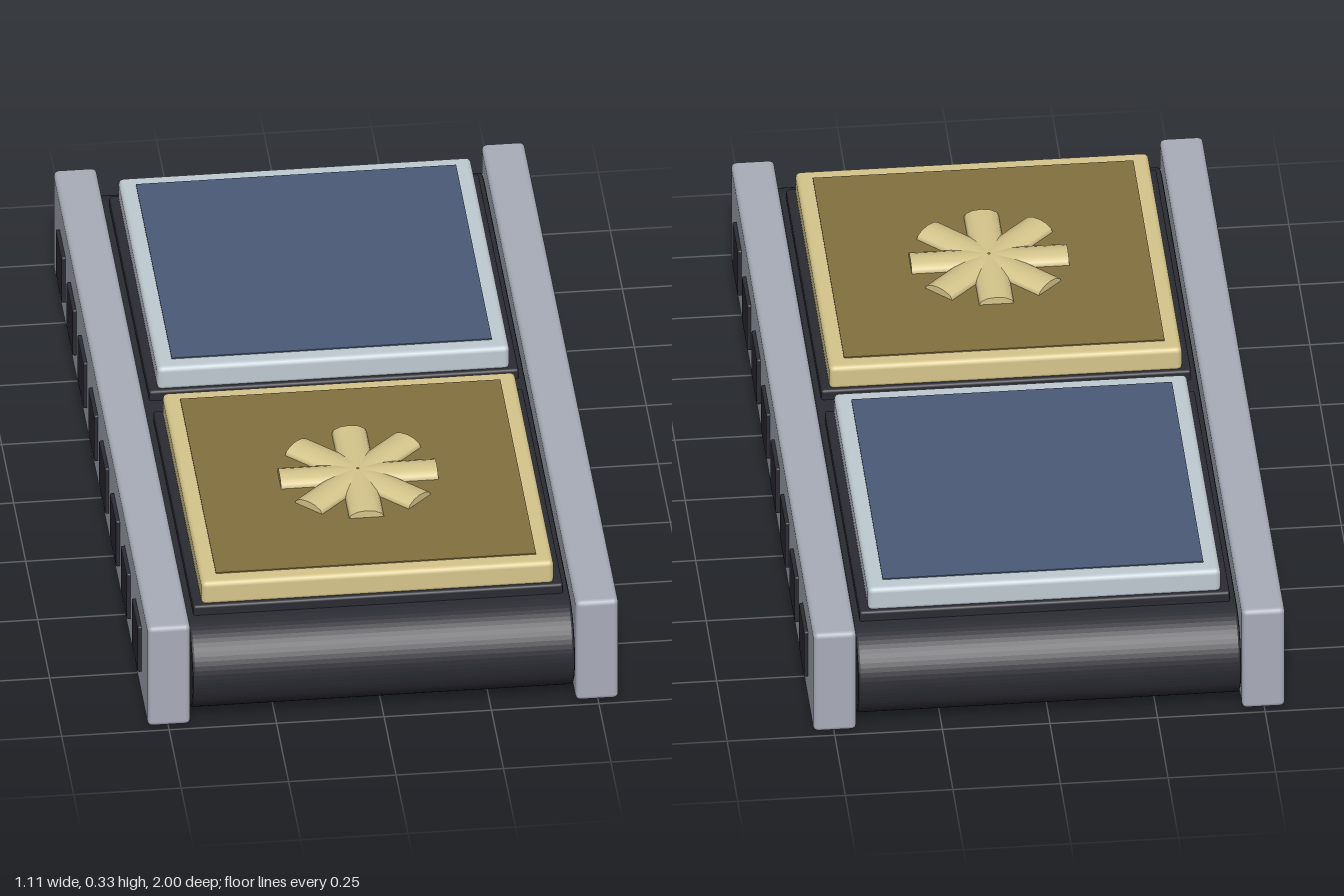
import * as THREE from 'three';
import { RoundedBoxGeometry } from 'three/addons/geometries/RoundedBoxGeometry.js';

export function createModel() {
  const root = new THREE.Group();
  root.name = 'conveyor';
  const mat = (name, color) => {
    const m = new THREE.MeshStandardMaterial({ color });
    m.name = name;
    return m;
  };
  const rubber = mat('darkRubber', 0x2b2b33);
  const steel = mat('railSteel', 0xa9adb9);
  const gold = mat('paleGold', 0xd6c68c);
  const bronze = mat('bronzePanel', 0x83703f);
  const silver = mat('paleSilver', 0xbfcad2);
  const blue = mat('bluePanel', 0x4a5a78);

  const add = (name, geo, material, x = 0, y = 0, z = 0, parent = root) => {
    const m = new THREE.Mesh(geo, material);
    m.name = name;
    m.position.set(x, y, z);
    parent.add(m);
    return m;
  };
  const rounded = (w, h, d, r) => new RoundedBoxGeometry(w, h, d, 2, r);

  // Belt: a stadium loop swept across the width
  const R = 0.106, end = 1 - 0.006 - R, bevel = 0.006;
  const loop = new THREE.Shape();
  loop.absarc(end, 0, R, -Math.PI / 2, Math.PI / 2, false);
  loop.absarc(-end, 0, R, Math.PI / 2, Math.PI * 1.5, false);
  loop.closePath();
  const beltGeo = new THREE.ExtrudeGeometry(loop, {
    depth: 0.89 - 2 * bevel, bevelThickness: bevel, bevelSize: bevel, bevelSegments: 2, curveSegments: 16,
  });
  beltGeo.translate(0, 0, -0.445 + bevel);
  beltGeo.rotateY(-Math.PI / 2);
  add('belt', beltGeo, rubber, 0, 0.122, 0);

  // Side rails with a row of dark square pads
  for (const s of [1, -1]) {
    add('sideRail', rounded(0.1, 0.272, 1.97, 0.012), steel, s * 0.498, 0.138, 0);
    for (let i = 0; i < 8; i++) {
      add('railPad', rounded(0.02, 0.125, 0.125, 0.004), rubber, s * 0.547, 0.132, (i - 3.5) * 0.226);
    }
  }

  // Two framed plates, each on a dark bed
  const plate = (name, z, frameMat, panelMat) => {
    const g = new THREE.Group();
    g.name = name;
    g.position.z = z;
    root.add(g);
    add('plateBed', rounded(0.86, 0.03, 0.84, 0.006), rubber, 0, 0.244, 0, g);
    add('plateFrame', rounded(0.82, 0.062, 0.82, 0.012), frameMat, 0, 0.284, 0, g);
    add('platePanel', new THREE.BoxGeometry(0.745, 0.006, 0.745), panelMat, 0, 0.315, 0, g);
    return g;
  };
  plate('backPlate', -0.46, silver, blue);
  const front = plate('frontPlate', 0.46, gold, bronze);

  // Raised eight-petal flower: flattened rods around a centre
  const petalGeo = new THREE.CylinderGeometry(0.041, 0.041, 0.18, 12);
  petalGeo.rotateX(Math.PI / 2);
  petalGeo.scale(1, 0.48, 1);
  petalGeo.translate(0, 0, 0.093);
  for (let i = 0; i < 8; i++) {
    add('petal', petalGeo, gold, 0, 0.317, -0.005, front).rotation.y = (i * Math.PI) / 4;
  }
  return root;
}
